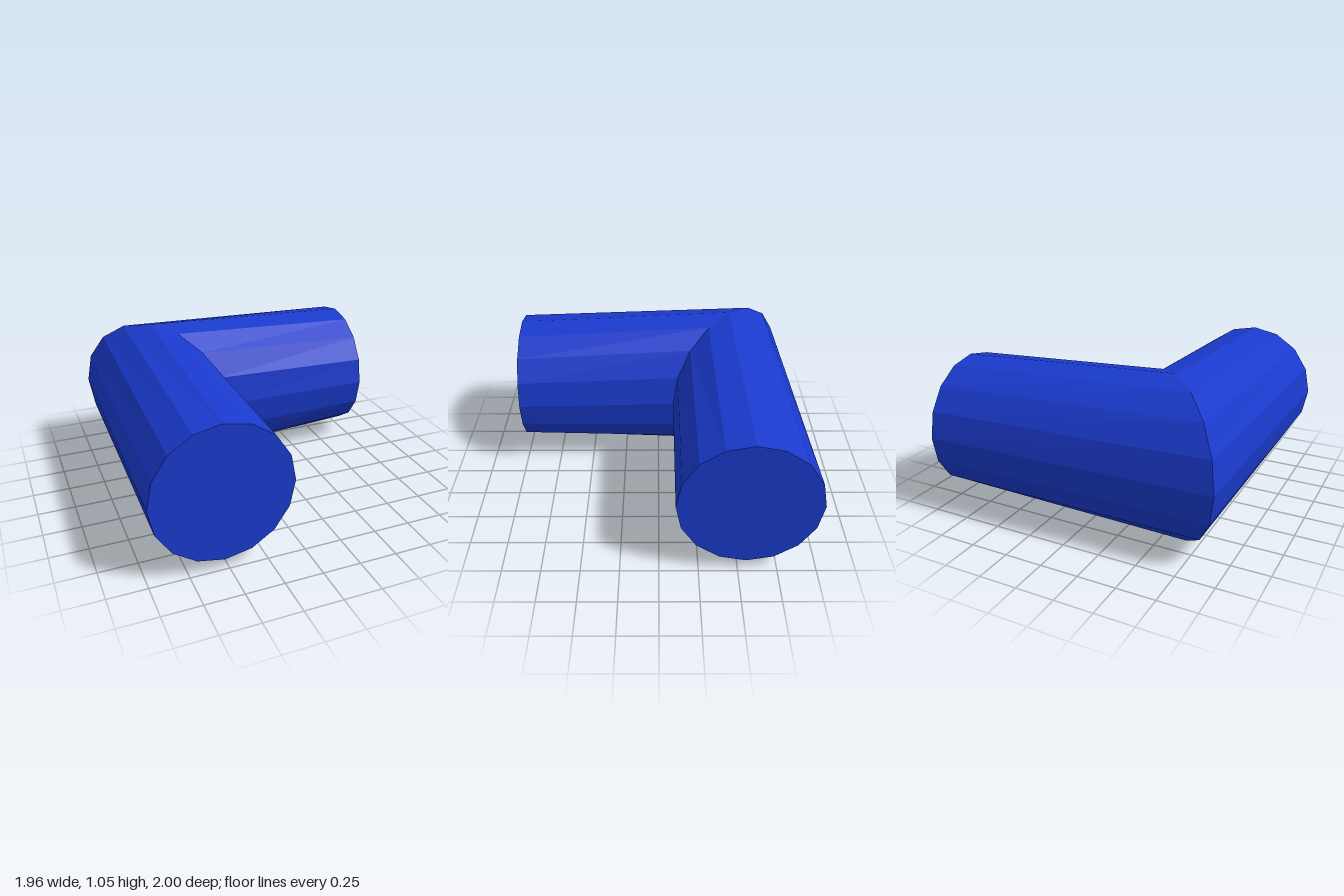
import * as THREE from 'three';

const SIDES = 16;
const CENTRE_Y = 0.525;

// Ring of points: centre (x, z), horizontal half-extents along x and z, vertical radius
function ring(x, z, dx, dz, ry) {
  return Array.from({ length: SIDES }, (_, i) => {
    const a = (i / SIDES) * Math.PI * 2;
    const c = Math.cos(a);
    return [x + dx * c, CENTRE_Y + ry * Math.sin(a), z + dz * c];
  });
}

function meshFrom(name, triangles, material) {
  const geometry = new THREE.BufferGeometry();
  geometry.setAttribute('position', new THREE.Float32BufferAttribute(triangles.flat(), 3));
  geometry.computeVertexNormals();
  const mesh = new THREE.Mesh(geometry, material);
  mesh.name = name;
  return mesh;
}

// Tapered arm joining two rings
function arm(name, a, b, material) {
  const t = [];
  for (let i = 0; i < SIDES; i++) {
    const j = (i + 1) % SIDES;
    t.push(a[i], b[i], b[j], a[i], b[j], a[j]);
  }
  return meshFrom(name, t, material);
}

// Flat disc closing a ring
function cap(name, r, centre, flip, material) {
  const t = [];
  for (let i = 0; i < SIDES; i++) {
    const j = (i + 1) % SIDES;
    t.push(centre, r[flip ? j : i], r[flip ? i : j]);
  }
  return meshFrom(name, t, material);
}

export function createModel() {
  const group = new THREE.Group();
  group.name = 'pipeElbow';
  const blue = new THREE.MeshStandardMaterial({ color: 0x1a3acc, flatShading: true });

  const frontEnd = ring(-0.53, 1, 0.45, 0, 0.452);
  const mitre = ring(-0.528, -0.515, 0.413, 0.41, 0.525); // diagonal joint
  const sideEnd = ring(0.98, -0.55, 0, 0.45, 0.452);

  group.add(
    arm('frontArm', frontEnd, mitre, blue),
    arm('sideArm', mitre, sideEnd, blue),
    cap('frontCap', frontEnd, [-0.53, CENTRE_Y, 1], false, blue),
    cap('sideCap', sideEnd, [0.98, CENTRE_Y, -0.55], true, blue)
  );
  return group;
}
